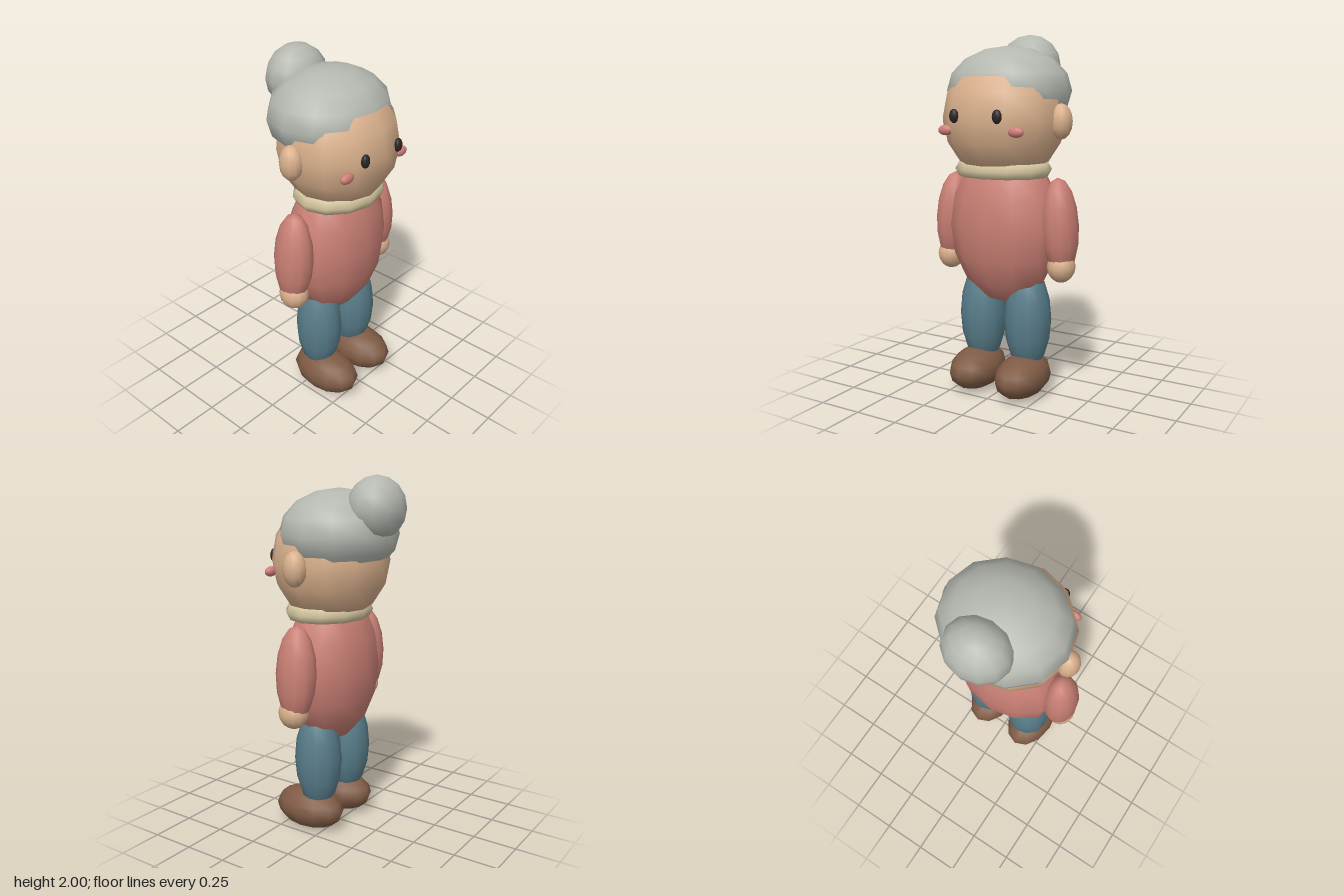
import * as THREE from 'three';

const mat = (name, color) => {
  const m = new THREE.MeshStandardMaterial({ color });
  m.name = name;
  return m;
};

export function createModel() {
  const model = new THREE.Group();
  model.name = 'grandmotherFigure';

  const skin = mat('skin', 0xd9b08c);
  const hair = mat('greyHair', 0xb4b8b0);
  const sweater = mat('rosePinkSweater', 0xc97f74);
  const trousers = mat('blueTrousers', 0x587d8a);
  const leather = mat('brownLeather', 0x7f5b45);
  const cream = mat('creamCollar', 0xd2c49e);
  const blush = mat('blush', 0xcf7f78);
  const dark = mat('eyeBlack', 0x2b2626);

  // Every rounded part is one low-poly sphere, scaled to an ellipsoid
  const ball = new THREE.SphereGeometry(1, 12, 8);
  const blob = (name, material, pos, radii, tilt = 0) => {
    const mesh = new THREE.Mesh(ball, material);
    mesh.name = name;
    mesh.position.set(...pos);
    mesh.scale.set(...radii);
    mesh.rotation.z = tilt;
    model.add(mesh);
  };
  // The same part on both sides of the body
  const pair = (name, material, [x, y, z], radii, tilt = 0) => {
    blob('left' + name, material, [x, y, z], radii, tilt);
    blob('right' + name, material, [-x, y, z], radii, -tilt);
  };

  // Head, hair cap and bun
  blob('head', skin, [0, 1.545, 0.06], [0.34, 0.35, 0.32]);
  blob('hairCap', hair, [0, 1.69, 0.005], [0.35, 0.24, 0.318]);
  blob('hairBun', hair, [0, 1.83, -0.23], [0.18, 0.17, 0.15]);

  // Face
  pair('Ear', skin, [0.34, 1.53, 0.05], [0.06, 0.095, 0.065]);
  pair('Eye', dark, [0.13, 1.56, 0.353], [0.027, 0.037, 0.02]);
  pair('Cheek', blush, [0.215, 1.483, 0.308], [0.046, 0.028, 0.024]);

  // Collar ring
  const collar = new THREE.Mesh(new THREE.TorusGeometry(0.232, 0.045, 6, 12).rotateX(Math.PI / 2), cream);
  collar.name = 'collar';
  collar.position.set(0, 1.268, 0.07);
  collar.scale.z = 0.83;
  model.add(collar);

  // Body and arms
  blob('torso', sweater, [0, 0.95, 0.05], [0.33, 0.44, 0.235]);
  pair('Sleeve', sweater, [0.34, 0.97, 0.05], [0.098, 0.265, 0.115], 0.06);
  pair('Hand', skin, [0.355, 0.755, 0.06], [0.076, 0.085, 0.085]);

  // Legs and shoes
  pair('Leg', trousers, [0.145, 0.43, 0.05], [0.131, 0.3, 0.135]);
  pair('Shoe', leather, [0.148, 0.12, 0.108], [0.138, 0.12, 0.216]);

  return model;
}
